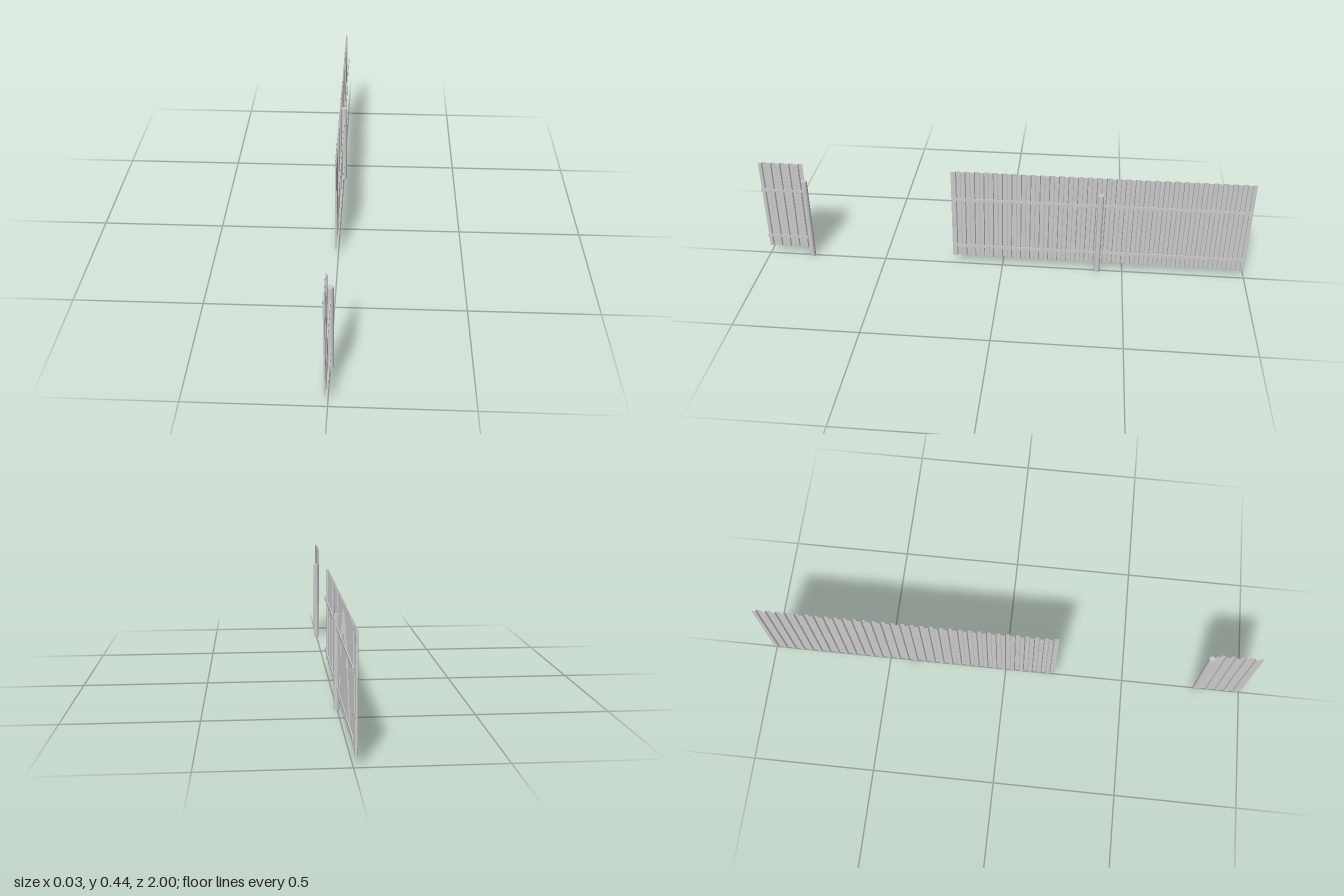
import * as THREE from 'three';

const PERIOD = 1.21 / 32;          // corrugation pitch
const X_OUT = -0.013, X_IN = -0.0065;
const BOTTOM = 0.034, TOP = 0.435;
const RAIL_Y = [0.089, 0.3125];

const material = new THREE.MeshStandardMaterial({ color: 0xcccccc });
const sheetMaterial = new THREE.MeshStandardMaterial({
  color: 0xcccccc, flatShading: true, side: THREE.DoubleSide,
});

function addMesh(parent, name, geometry, x, y, z, mat = material) {
  const mesh = new THREE.Mesh(geometry, mat);
  mesh.name = name;
  mesh.position.set(x, y, z);
  parent.add(mesh);
  return mesh;
}

// Trapezoid-profile sheet running along z
function corrugatedSheet(z0, z1) {
  const profile = [];
  const corners = [[0, X_OUT], [0.42, X_OUT], [0.5, X_IN], [0.92, X_IN]];
  for (let start = z0; start < z1 - 1e-4; start += PERIOD) {
    for (const [t, x] of corners) {
      const z = start + t * PERIOD;
      if (z < z1) profile.push([x, z]);
    }
  }
  profile.push([profile[profile.length - 1][0], z1]);

  const positions = [], index = [];
  profile.forEach(([x, z], i) => {
    positions.push(x, BOTTOM, z, x, TOP, z);
    if (i > 0) {
      const a = 2 * (i - 1);
      index.push(a, a + 2, a + 1, a + 1, a + 2, a + 3);
    }
  });
  const geometry = new THREE.BufferGeometry();
  geometry.setAttribute('position', new THREE.Float32BufferAttribute(positions, 3));
  geometry.setIndex(index);
  geometry.computeVertexNormals();
  return geometry;
}

// One fence section: sheet, two rails, a post and the screw heads
function fenceSection(name, z0, z1, rail0, rail1, postZ) {
  const section = new THREE.Group();
  section.name = name;
  addMesh(section, 'corrugatedSheet', corrugatedSheet(z0, z1), 0, 0, 0, sheetMaterial);
  addMesh(section, 'post', new THREE.CylinderGeometry(0.0118, 0.0118, 0.363, 24), 0.0016, 0.1815, postZ);

  const railGeometry = new THREE.BoxGeometry(0.0035, 0.012, rail1 - rail0);
  const screwGeometry = new THREE.CylinderGeometry(0.0018, 0.0018, 0.0008, 6).rotateZ(Math.PI / 2);
  for (const y of RAIL_Y) {
    addMesh(section, 'rail', railGeometry, 0.0015, y, (rail0 + rail1) / 2);
    for (let z = z0 + 0.21 * PERIOD; z < z1; z += 3 * PERIOD) {
      addMesh(section, 'screw', screwGeometry, X_OUT - 0.0003, y, z);
    }
  }
  return section;
}

export function createModel() {
  const fence = new THREE.Group();
  fence.name = 'fence';
  fence.add(fenceSection('longSection', -1, 0.21, -0.988, 0.198, -0.395));
  fence.add(fenceSection('shortSection', 0.817, 1, 0.82, 1, 0.815));
  return fence;
}
